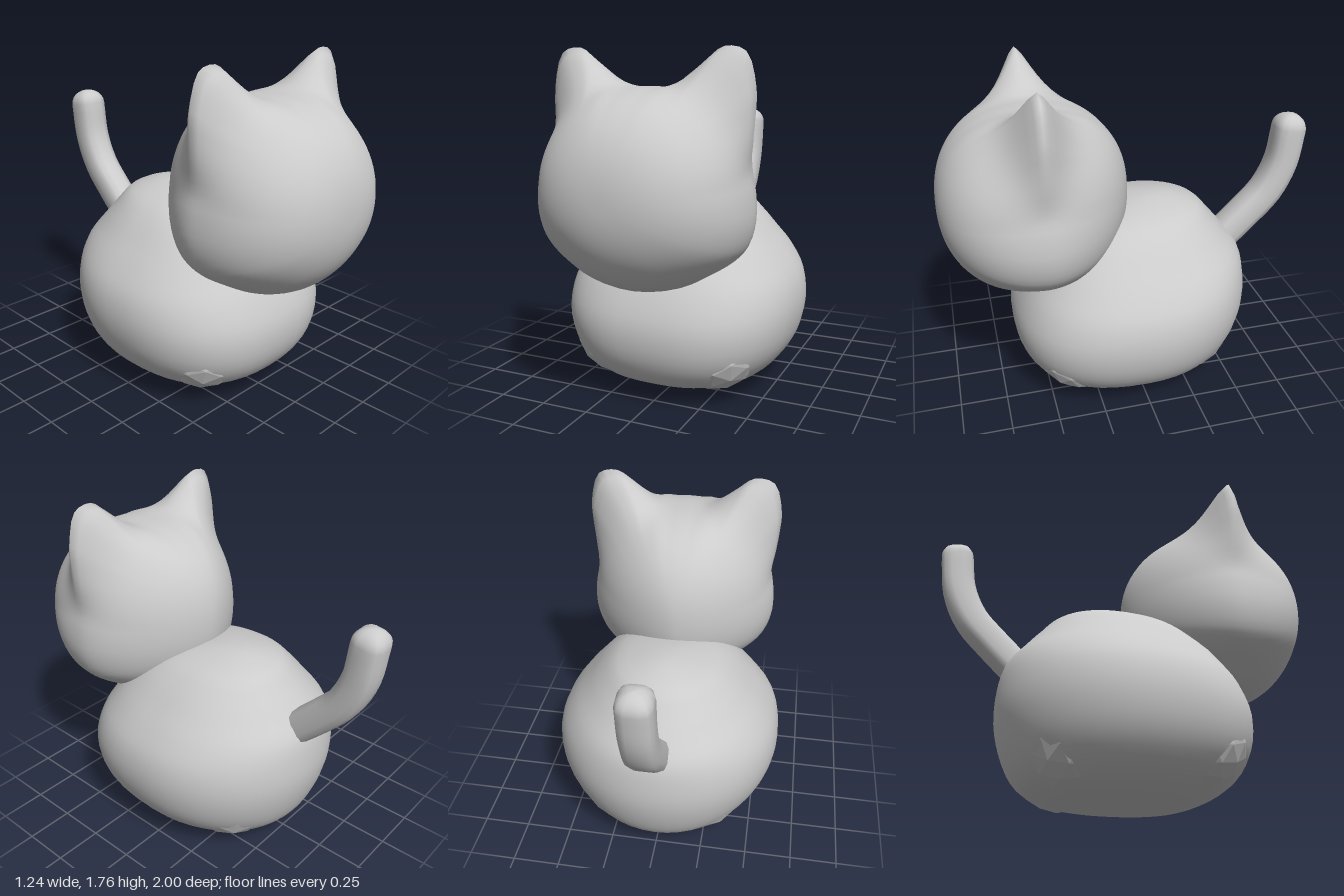
import * as THREE from 'three';

const material = new THREE.MeshStandardMaterial({ color: 0xcccccc });
const flatMaterial = new THREE.MeshStandardMaterial({ color: 0xcccccc, flatShading: true });
const SIDES = 48;

// Skin a list of closed rings (equal point counts) and close both ends
function loft(rings) {
  const n = rings[0].length, position = [], index = [];
  rings.forEach(r => r.forEach(p => position.push(p.x, p.y, p.z)));
  for (let i = 0; i < rings.length - 1; i++) {
    for (let j = 0; j < n; j++) {
      const a = i * n + j, b = i * n + (j + 1) % n;
      index.push(a, b, a + n, b, b + n, a + n);
    }
  }
  [0, rings.length - 1].forEach((row, end) => {
    const c = new THREE.Vector3();
    rings[row].forEach(p => c.addScaledVector(p, 1 / n));
    const ci = position.length / 3;
    position.push(c.x, c.y, c.z);
    for (let j = 0; j < n; j++) {
      const a = row * n + j, b = row * n + (j + 1) % n;
      if (end) index.push(a, b, ci); else index.push(b, a, ci);
    }
  });
  const g = new THREE.BufferGeometry();
  g.setAttribute('position', new THREE.Float32BufferAttribute(position, 3));
  g.setIndex(index);
  g.computeVertexNormals();
  return g;
}

function add(group, name, geometry, mat = material) {
  const mesh = new THREE.Mesh(geometry, mat);
  mesh.name = name;
  group.add(mesh);
  return mesh;
}

// Body: horizontal sections as [y, front z, back z, half width], squarer at the front
function bodyGeometry() {
  const sections = [
    [0.0, 0.08, -0.2, 0.1], [0.02, 0.27, -0.34, 0.23], [0.06, 0.43, -0.47, 0.38],
    [0.14, 0.57, -0.56, 0.5], [0.27, 0.645, -0.62, 0.585], [0.43, 0.66, -0.655, 0.62],
    [0.58, 0.61, -0.65, 0.6], [0.7, 0.54, -0.622, 0.53], [0.8, 0.475, -0.545, 0.45],
    [0.9, 0.38, -0.46, 0.365], [0.98, 0.22, -0.385, 0.265], [1.035, -0.04, -0.22, 0.07],
  ];
  const path = k => new THREE.CatmullRomCurve3(
    sections.map(s => new THREE.Vector3(s[0], s[k], s[3])));
  const front = path(1), back = path(2), rows = 33, rings = [];
  for (let i = 0; i <= rows; i++) {
    const f = front.getPoint(i / rows), b = back.getPoint(i / rows);
    const mid = (f.y + b.y) / 2, depth = (f.y - b.y) / 2, ring = [];
    for (let j = 0; j < SIDES; j++) {
      const a = j / SIDES * Math.PI * 2, s = Math.sin(a), c = Math.cos(a);
      const e = 2 / (c > 0 ? 2.5 : 2.05);
      ring.push(new THREE.Vector3(
        Math.sign(s) * Math.abs(s) ** e * f.z, f.x,
        mid + Math.sign(c) * Math.abs(c) ** e * depth));
    }
    rings.push(ring);
  }
  return loft(rings);
}

// Head: front outline swept to both poles, the ears fading quickly in depth
function headGeometry() {
  const half = [
    [0.2, -0.455], [0.33, -0.387], [0.43, -0.32], [0.49, -0.25], [0.523, -0.13],
    [0.517, 0], [0.497, 0.11], [0.513, 0.25], [0.523, 0.36], [0.525, 0.48],
    [0.475, 0.64], [0.37, 0.662], [0.28, 0.6], [0.13, 0.49],
  ];
  const loop = [[0, -0.49], ...half, [0, 0.483], ...half.map(([x, y]) => [-x, y]).reverse()];
  const outline = new THREE.CatmullRomCurve3(
    loop.map(([x, y]) => new THREE.Vector3(x, y, 0)), true).getPoints(90).slice(0, -1);
  const oval = (t, n) => Math.pow(Math.max(0, 1 - Math.pow(Math.abs(t), n)), 1 / n);
  const rings = [], rows = 48;
  for (let i = 1; i < rows; i++) {
    const t = Math.sin((i / rows - 0.5) * Math.PI), z = t * 0.495;
    const sx = oval(t, t > 0 ? 2.45 : 1.75), sy = oval(t, 2.2);
    const ear = Math.exp(-Math.pow(Math.abs(z) / 0.115, 1.5));
    rings.push(outline.map(p => {
      const r = p.length();
      const skull = p.y > 0 ? Math.min(r, 0.51) : r;
      const k = THREE.MathUtils.lerp(skull, 0.5, Math.abs(t) ** 1.5) / r;
      const tip = (r - skull) / r * ear;
      return new THREE.Vector3(p.x * (k * sx + tip), 1.1 + p.y * (k * sy + tip), 0.505 + z);
    }));
  }
  return loft(rings);
}

// Tail: a capsule with rounded-square section, bent along a curve in the middle plane
function tailGeometry() {
  const curve = new THREE.CatmullRomCurve3([
    [0.695, -0.54], [0.84, -0.69], [0.97, -0.81], [1.13, -0.885], [1.33, -0.915],
  ].map(([y, z]) => new THREE.Vector3(0, y, z)));
  const length = curve.getLength();
  const g = new THREE.CapsuleGeometry(0.084, length, 6, 16, 16);
  const pos = g.attributes.position;
  for (let i = 0; i < pos.count; i++) {
    const along = pos.getY(i) + length / 2;
    const u = THREE.MathUtils.clamp(along / length, 0, 1);
    const over = (along - u * length) * (along < 0 ? 0.3 : 0.97);
    const square = 1 + 0.17 * Math.sin(2 * Math.atan2(pos.getZ(i), pos.getX(i))) ** 2;
    const p = curve.getPointAt(u), d = curve.getTangentAt(u), side = pos.getZ(i) * square;
    pos.setXYZ(i, pos.getX(i) * square,
      p.y + d.y * over - d.z * side, p.z + d.z * over + d.y * side);
  }
  g.computeVertexNormals();
  return g;
}

export function createModel() {
  const model = new THREE.Group();
  model.name = 'cat';
  const body = add(model, 'body', bodyGeometry());
  add(model, 'head', headGeometry());
  add(model, 'tail', tailGeometry());

  // Faceted feet, almost flush with the underside: [name, body ring, point on the ring]
  const { position, normal } = body.geometry.attributes;
  for (const [name, row, column] of [
    ['leftFrontFoot', 9, 6], ['rightFrontFoot', 9, SIDES - 6],
    ['leftBackFoot', 7, 18], ['rightBackFoot', 7, SIDES - 18],
  ]) {
    const at = row * SIDES + column;
    const inward = new THREE.Vector3().fromBufferAttribute(normal, at).multiplyScalar(-0.232);
    add(model, name, new THREE.IcosahedronGeometry(0.25, 2), flatMaterial)
      .position.fromBufferAttribute(position, at).add(inward);
  }
  return model;
}
